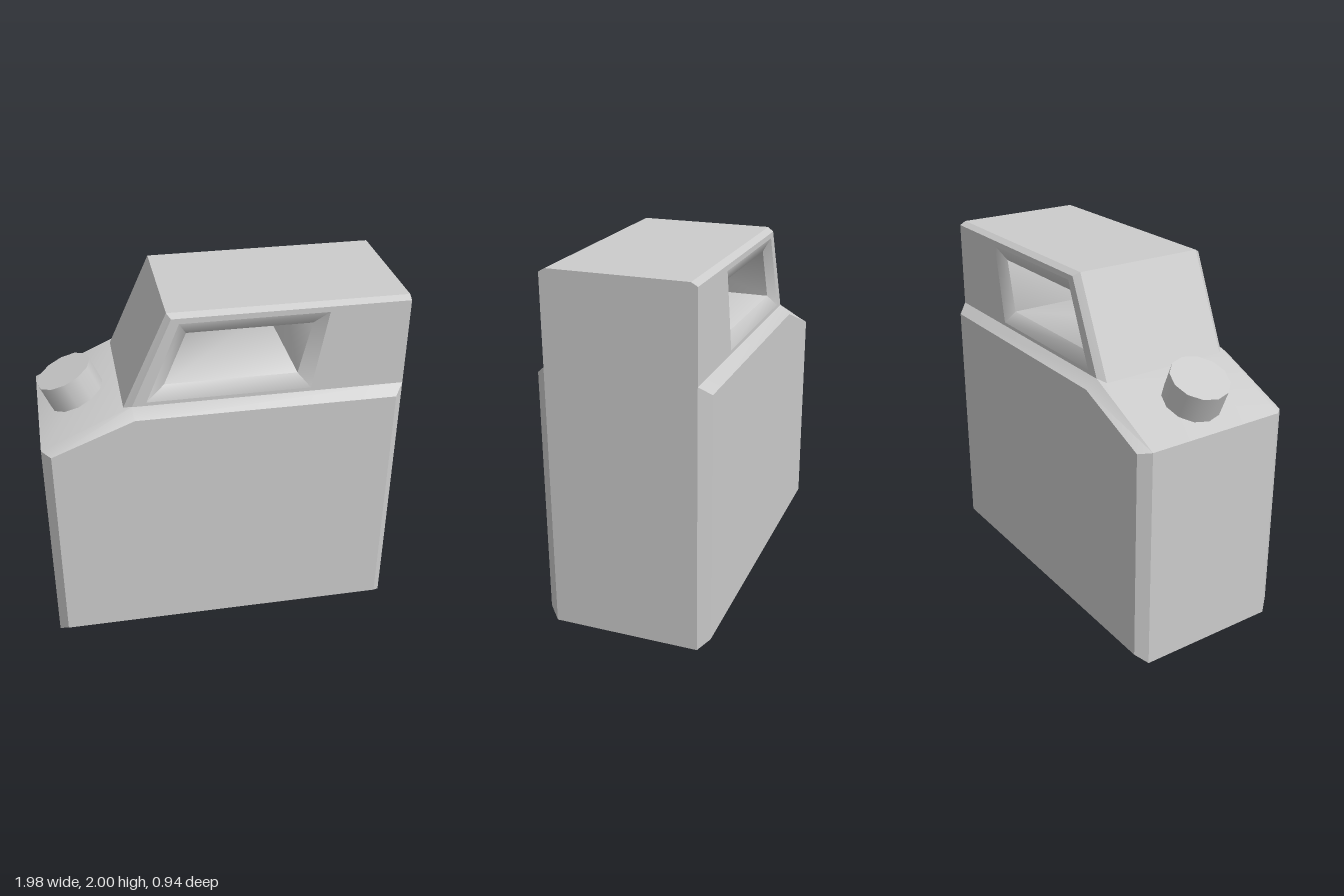
import * as THREE from 'three';
import { toCreasedNormals } from 'three/addons/utils/BufferGeometryUtils.js';

// Skin between successive loops of equal length; loops run anticlockwise seen from +z.
// Each loop is { pts: [[x, y], ...], z }.
function loft(loops, crease, capped) {
  const n = loops[0].pts.length;
  const positions = loops.flatMap(({ pts, z }) => pts.flatMap(([x, y]) => [x, y, z]));
  const index = [];
  for (let l = 0; l < loops.length - 1; l++) {
    for (let i = 0; i < n; i++) {
      const j = (i + 1) % n;
      const a = l * n + i, b = l * n + j, c = b + n, d = a + n;
      index.push(a, b, c, a, c, d);
    }
  }
  if (capped) {
    const last = (loops.length - 1) * n;
    for (let i = 1; i < n - 1; i++) {
      index.push(0, i + 1, i, last, last + i, last + i + 1);
    }
  }
  const geometry = new THREE.BufferGeometry();
  geometry.setAttribute('position', new THREE.Float32BufferAttribute(positions, 3));
  geometry.setIndex(index);
  return toCreasedNormals(geometry, crease);
}

export function createModel() {
  const model = new THREE.Group();
  model.name = 'jerrycan';
  const material = new THREE.MeshStandardMaterial({ color: 0xcccccc });
  const add = (name, geometry) => {
    const mesh = new THREE.Mesh(geometry, material);
    mesh.name = name;
    model.add(mesh);
    return mesh;
  };

  // Tank with bevelled front and back panels
  const outline = [[-0.99, 0], [0.985, 0], [0.985, 1.49], [-0.5, 1.49], [-0.99, 1.27]];
  const panel = [[-0.94, 0.05], [0.935, 0.05], [0.935, 1.44], [-0.49, 1.44], [-0.94, 1.26]];
  add('tank', loft([
    { pts: panel, z: -0.47 },
    { pts: outline, z: -0.41 },
    { pts: outline, z: 0.41 },
    { pts: panel, z: 0.47 },
  ], 0.5, true));

  // Handle block: chamfered outside, with front and back faces running in to the recess
  const block = [[-0.555, 1.44], [0.985, 1.44], [0.985, 2], [-0.3, 2]];
  const face = [[-0.52, 1.44], [0.985, 1.44], [0.985, 1.98], [-0.28, 1.98]];
  const rim = [[-0.42, 1.51], [0.47, 1.51], [0.55, 1.95], [-0.24, 1.95]];
  const hole = [[-0.32, 1.59], [0.4, 1.59], [0.47, 1.88], [-0.2, 1.88]];
  add('handleBlock', loft([
    { pts: rim, z: -0.41 },
    { pts: face, z: -0.41 },
    { pts: block, z: -0.375 },
    { pts: block, z: 0.375 },
    { pts: face, z: 0.41 },
    { pts: rim, z: 0.41 },
  ], 0.4, false));

  // Softly dished grip opening running through the block
  add('gripOpening', loft([
    { pts: rim, z: 0.41 },
    { pts: hole, z: 0.375 },
    { pts: hole, z: -0.375 },
    { pts: rim, z: -0.41 },
  ], 1.25, false));

  // Cap standing square on the sloping shoulder
  const capGeometry = new THREE.CylinderGeometry(0.163, 0.163, 0.18, 12);
  capGeometry.translate(0, 0.07, 0);
  const cap = add('cap', capGeometry);
  cap.position.set(-0.768, 1.368, 0);
  cap.rotation.z = 0.41;

  return model;
}
